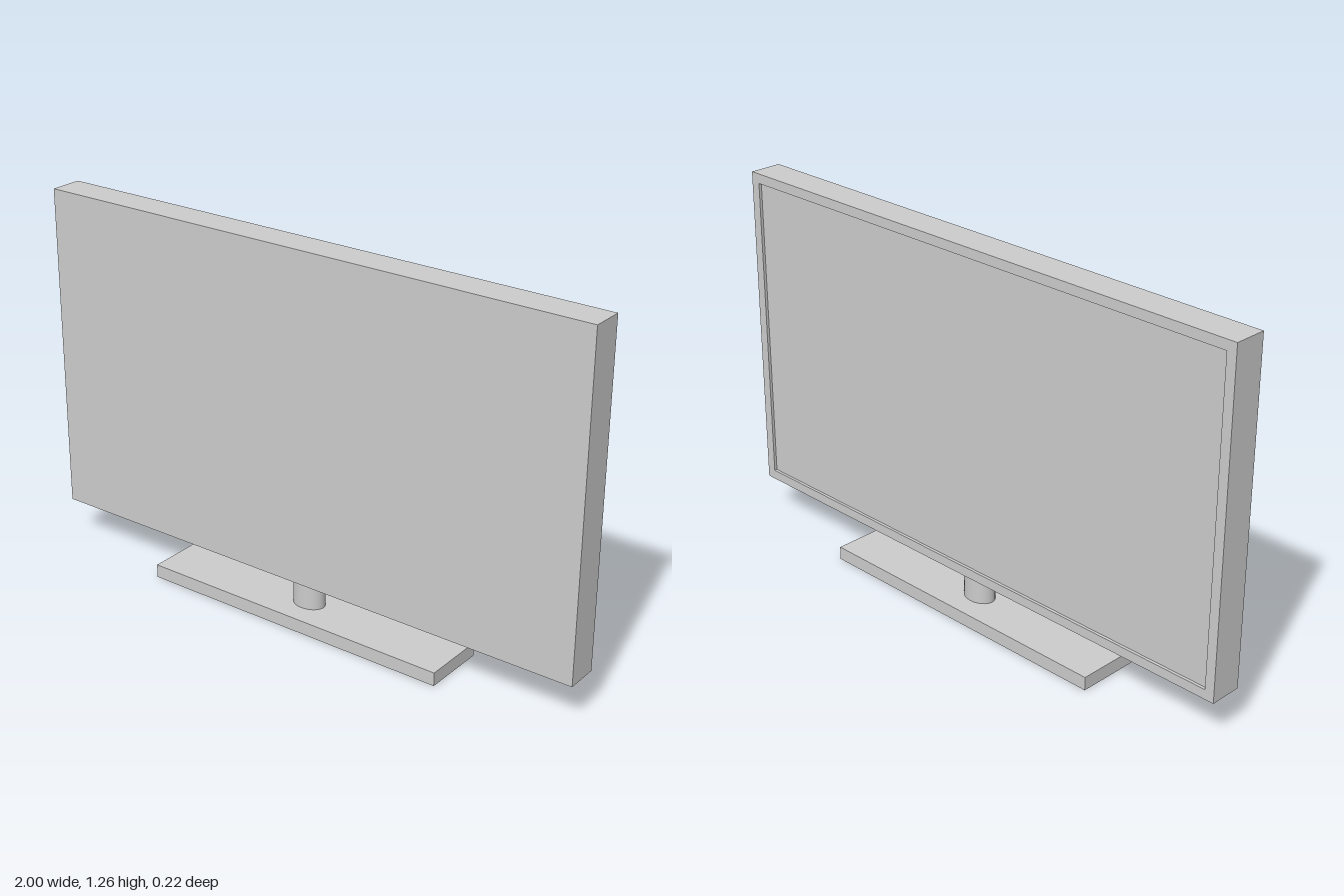
import * as THREE from 'three';

const material = new THREE.MeshStandardMaterial({ color: 0xcccccc });

function addMesh(group, name, geometry, x = 0, y = 0, z = 0) {
  const mesh = new THREE.Mesh(geometry, material);
  mesh.name = name;
  mesh.position.set(x, y, z);
  group.add(mesh);
  return mesh;
}

// Rectangle centred on the origin, as a list of corners
function rectangle(w, h) {
  return [[-1, -1], [1, -1], [1, 1], [-1, 1]].map(
    ([sx, sy]) => new THREE.Vector2((sx * w) / 2, (sy * h) / 2));
}

export function createModel() {
  const model = new THREE.Group();
  model.name = 'flatScreenTelevision';

  const width = 2, bottom = 0.138, top = 1.261;
  const height = top - bottom, midY = (top + bottom) / 2;
  const half = 0.056, rim = 0.033, recess = 0.01;

  // Screen: flat front shell and a back shell meeting at the middle seam
  const screen = new THREE.Group();
  screen.name = 'screen';
  screen.position.y = midY;
  model.add(screen);
  addMesh(screen, 'frontShell', new THREE.BoxGeometry(width, height, half), 0, 0, half / 2);
  const backDepth = half - recess;
  addMesh(screen, 'backShell', new THREE.BoxGeometry(width, height, backDepth), 0, 0, -backDepth / 2);

  // Raised rim around the shallow recess in the back
  const frame = new THREE.Shape(rectangle(width, height));
  frame.holes.push(new THREE.Path(rectangle(width - 2 * rim, height - 2 * rim)));
  addMesh(screen, 'backRim',
    new THREE.ExtrudeGeometry(frame, { depth: recess, bevelEnabled: false }), 0, 0, -half);

  // Stand: oval neck on a wide, flat foot
  const footHeight = 0.046;
  const neckHeight = bottom - footHeight;
  const neck = addMesh(model, 'neck',
    new THREE.CylinderGeometry(0.057, 0.057, neckHeight, 32), 0, footHeight + neckHeight / 2, 0);
  neck.scale.z = 0.75;
  addMesh(model, 'foot', new THREE.BoxGeometry(1.12, footHeight, 0.222), 0, footHeight / 2, 0);

  return model;
}
